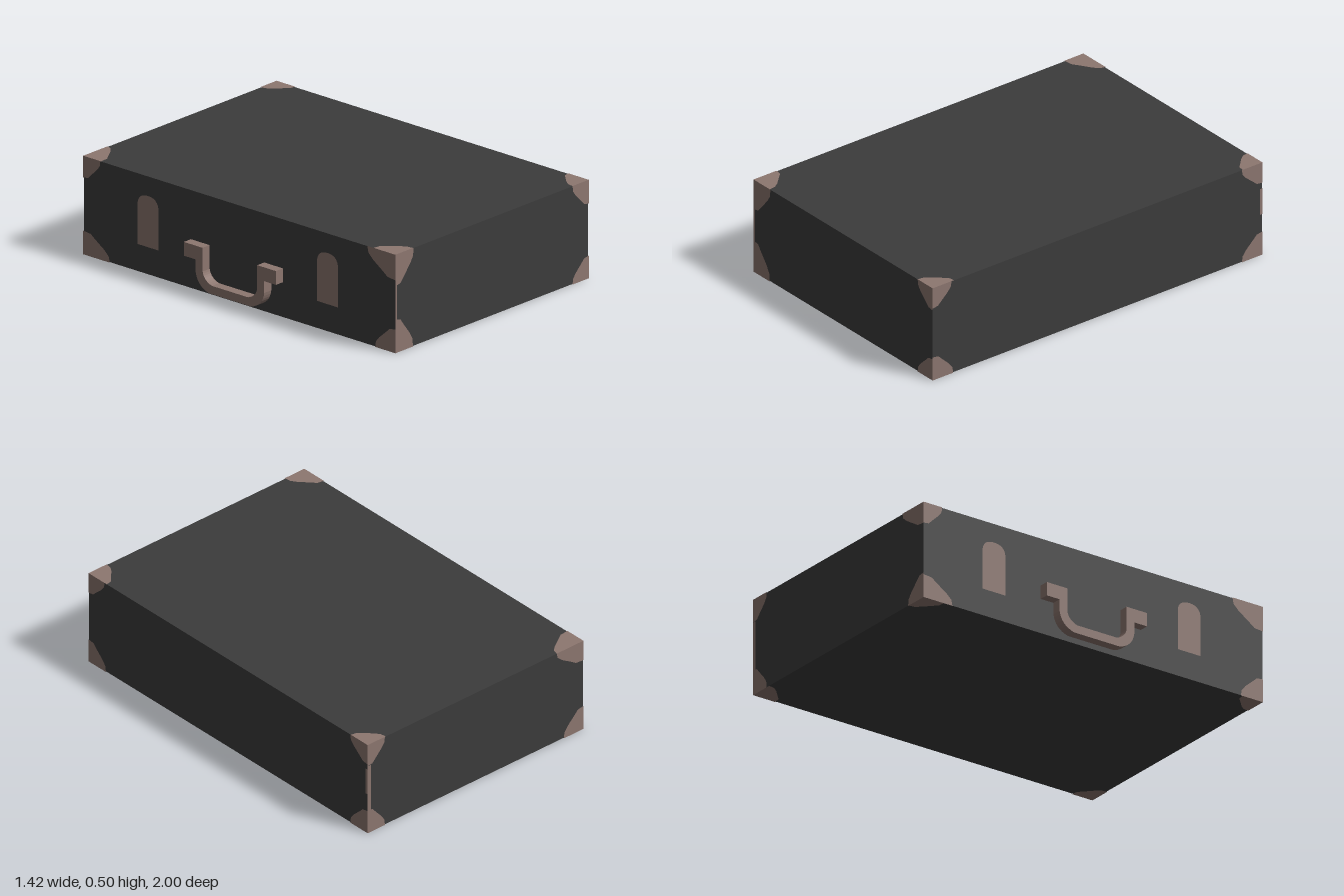
import * as THREE from 'three';

const W = 1.37, H = 0.5, L = 2, CX = 0.025;
const EPS = 0.002;

// Wavy outline of a corner guard, as fractions of its width and height
const GUARD = [[0, 0], [1, 0], [0.96, 0.25], [0.8, 0.46], [0.45, 0.79], [0.28, 0.96], [0, 1]];

const X = new THREE.Vector3(1, 0, 0), Y = new THREE.Vector3(0, 1, 0), Z = new THREE.Vector3(0, 0, 1);
const neg = (v) => v.clone().negate();

// Each side: across, up and outward axes, size, and guards [sideways sign, vertical sign, width, height]
const SIDES = [
  { name: 'front', u: X, v: Y, n: Z, w: W, h: H, d: L / 2,
    guards: [[-1, 1, 0.13, 0.16], [1, 1, 0.115, 0.12], [-1, -1, 0.125, 0.17], [1, -1, 0.115, 0.115]],
    strips: [[-W / 2, 0.03, 0.012, 0.24]] },
  { name: 'back', u: neg(X), v: Y, n: neg(Z), w: W, h: H, d: L / 2,
    guards: [[-1, 1, 0.11, 0.12], [1, 1, 0.17, 0.11], [-1, -1, 0.11, 0.13], [1, -1, 0.125, 0.13]],
    strips: [[-W / 2, 0, 0.02, 0.26]] },
  { name: 'right', u: neg(Z), v: Y, n: X, w: L, h: H, d: W / 2,
    guards: [[-1, 1, 0.115, 0.11], [1, 1, 0.125, 0.11], [-1, -1, 0.125, 0.125], [1, -1, 0.125, 0.125]],
    strips: [[L / 2, 0.04, 0.016, 0.14]] },
  { name: 'left', u: Z, v: Y, n: neg(X), w: L, h: H, d: W / 2,
    guards: [[-1, 1, 0.11, 0.11], [1, 1, 0.18, 0.13], [-1, -1, 0.17, 0.12], [1, -1, 0.13, 0.12]] },
  { name: 'top', u: X, v: neg(Z), n: Y, w: W, h: L, d: H / 2,
    guards: [[-1, 1, 0.17, 0.115], [1, 1, 0.115, 0.12], [-1, -1, 0.125, 0.14], [1, -1, 0.115, 0.13]] },
  { name: 'bottom', u: X, v: Z, n: neg(Y), w: W, h: L, d: H / 2,
    guards: [[-1, 1, 0.12, 0.12], [1, 1, 0.12, 0.12], [-1, -1, 0.12, 0.12], [1, -1, 0.13, 0.13]] },
];

function add(parent, name, geometry, material) {
  const mesh = new THREE.Mesh(geometry, material);
  mesh.name = name;
  parent.add(mesh);
  return mesh;
}

function guardGeometry(side, [su, sv, a, b]) {
  const pts = GUARD.map(([p, q]) =>
    new THREE.Vector2(su * (side.w / 2 - a * p), sv * (side.h / 2 - b * q)));
  return new THREE.ShapeGeometry(new THREE.Shape(pts));
}

// Latch plate with straight sides and an arched top
function latchGeometry() {
  const s = new THREE.Shape();
  s.moveTo(-0.067, -0.13);
  s.lineTo(0.067, -0.13);
  s.lineTo(0.067, 0.08);
  s.quadraticCurveTo(0.06, 0.13, 0, 0.13);
  s.quadraticCurveTo(-0.06, 0.13, -0.067, 0.08);
  return new THREE.ShapeGeometry(s, 6);
}

// U-shaped grip: legs under the mounts, curving into a straight lower bar
function gripGeometry() {
  const s = new THREE.Shape();
  s.moveTo(-0.235, -0.07);
  s.lineTo(-0.235, -0.13);
  s.quadraticCurveTo(-0.225, -0.2, -0.15, -0.22);
  s.lineTo(0.12, -0.22);
  s.quadraticCurveTo(0.195, -0.2, 0.205, -0.13);
  s.lineTo(0.205, -0.07);
  s.lineTo(0.16, -0.07);
  s.lineTo(0.16, -0.12);
  s.quadraticCurveTo(0.15, -0.165, 0.1, -0.178);
  s.lineTo(-0.13, -0.178);
  s.quadraticCurveTo(-0.18, -0.165, -0.19, -0.12);
  s.lineTo(-0.19, -0.07);
  return new THREE.ExtrudeGeometry(s, { depth: 0.05, bevelEnabled: false, curveSegments: 8 });
}

export function createModel() {
  const shell = new THREE.MeshStandardMaterial({ color: 0x3c3c3c });
  shell.name = 'charcoal shell';
  const trim = new THREE.MeshStandardMaterial({ color: 0x8d7770 });
  trim.name = 'brown trim';

  const model = new THREE.Group();
  model.name = 'suitcase';
  const body = add(model, 'caseBody',
    new THREE.BoxGeometry(W - 2 * EPS, H - 2 * EPS, L - 2 * EPS), shell);
  body.position.set(CX, H / 2, 0);

  for (const side of SIDES) {
    // Local frame lying on this side of the case
    const face = new THREE.Group();
    face.name = side.name + 'Side';
    face.quaternion.setFromRotationMatrix(new THREE.Matrix4().makeBasis(side.u, side.v, side.n));
    face.position.set(CX, H / 2, 0).addScaledVector(side.n, side.d);
    model.add(face);

    for (const g of side.guards) add(face, 'cornerGuard', guardGeometry(side, g), trim);

    // Worn trim along an upright edge
    for (const [u, v, w, h] of side.strips ?? []) {
      const strip = add(face, 'edgeTrim', new THREE.PlaneGeometry(w, h), trim);
      strip.position.set(u - Math.sign(u) * w / 2, v, 0);
    }

    if (side.name === 'left') {
      for (const u of [-0.585, 0.565]) {
        add(face, 'latch', latchGeometry(), trim).position.set(u, 0.02, 0);
      }
      const handle = new THREE.Group();
      handle.name = 'handle';
      face.add(handle);
      for (const u of [-0.25, 0.22]) {
        add(handle, 'handleMount', new THREE.BoxGeometry(0.12, 0.07, 0.05), trim)
          .position.set(u, -0.035, 0.025);
      }
      add(handle, 'handleGrip', gripGeometry(), trim);
    }
  }
  return model;
}
